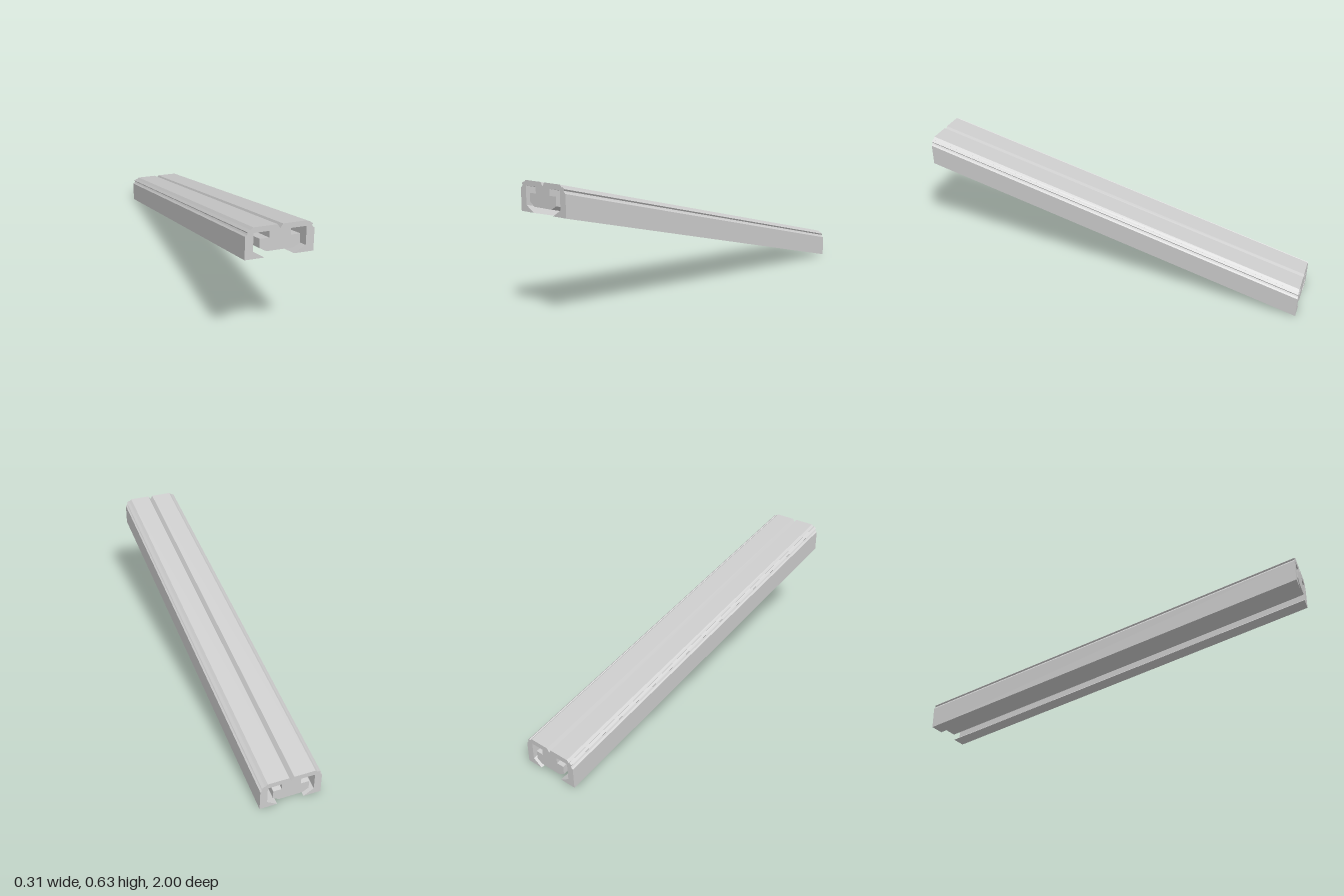
import * as THREE from 'three';

const LENGTH = 2;
const RISE = 0.485; // climb from the back end to the front end

// Half of the rail section (x >= 0), from the top groove round to the core's underside
const HALF = [
  // V groove, top face and stepped shoulder
  [0, 0.124], [0.012, 0.143], [0.119, 0.143], [0.131, 0.132], [0.135, 0.135],
  // small side groove, outer wall, bottom lip
  [0.147, 0.126], [0.142, 0.119], [0.147, 0.112], [0.1545, 0.106], [0.1545, 0],
  [0.067, 0], [0.118, 0.031],
  // hooked slot and chamfered core
  [0.118, 0.118], [0.048, 0.118], [0.048, 0.088], [0.09, 0.088], [0.09, 0.046], [0.059, 0.028],
];

function railSection() {
  const mirrored = HALF.slice(1).reverse().map(([x, y]) => [-x, y]);
  return new THREE.Shape([...HALF, ...mirrored].map(([x, y]) => new THREE.Vector2(x, y)));
}

export function createModel() {
  const group = new THREE.Group();
  group.name = 'slopedRail';

  const geometry = new THREE.ExtrudeGeometry(railSection(), { depth: LENGTH, bevelEnabled: false });
  geometry.translate(0, 0, -LENGTH / 2);

  // Shear the rail into a slope, keeping both cut ends vertical
  const slope = RISE / LENGTH;
  geometry.applyMatrix4(new THREE.Matrix4().set(
    1, 0, 0, 0,
    0, 1, slope, RISE / 2,
    0, 0, 1, 0,
    0, 0, 0, 1,
  ));
  geometry.computeVertexNormals();

  const rail = new THREE.Mesh(
    geometry,
    new THREE.MeshStandardMaterial({ color: 0xcccccc, flatShading: true }),
  );
  rail.name = 'rail';
  group.add(rail);
  return group;
}
